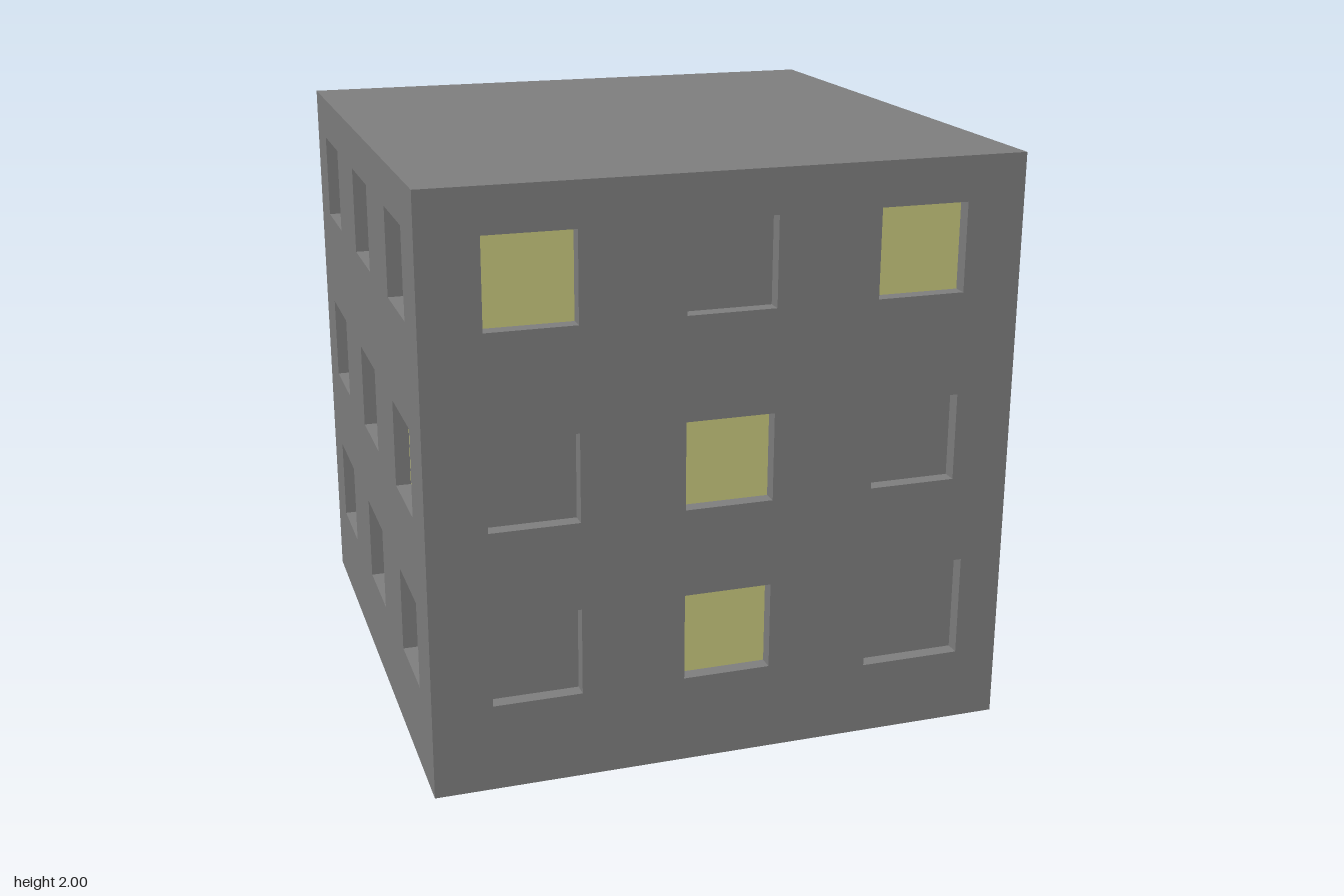
import * as THREE from 'three';

const wallGrey = new THREE.MeshStandardMaterial({ color: 0x808080 });
wallGrey.name = 'wallGrey';
const litYellow = new THREE.MeshStandardMaterial({ color: 0xcccc80 });
litYellow.name = 'litYellow';

const DEPTH = 0.05;
const COLUMNS = [-0.8, -0.5, -0.15, 0.15, 0.5, 0.8];
const ROWS = [[1.55, 1.85], [0.9, 1.2], [0.3, 0.6]];

// Lit windows (1) on each side, seen from outside, top row first
const SIDES = [
  { name: 'front', turn: 0, lit: ['101', '010', '010'] },
  { name: 'right', turn: Math.PI / 2, lit: ['001', '100', '010'] },
  { name: 'back', turn: Math.PI, lit: ['010', '010', '101'] },
  { name: 'left', turn: -Math.PI / 2, lit: ['100', '001', '010'] },
];

// Recess: an inward-facing box without its front, with the pane as its back
function recessGeometry(w, h) {
  const geo = new THREE.BoxGeometry(w, h, DEPTH);
  geo.scale(1, 1, -1);
  geo.setIndex(Array.from(geo.index.array).slice(0, 30));
  geo.computeVertexNormals();
  geo.clearGroups();
  geo.addGroup(0, 24, 0);
  geo.addGroup(24, 6, 1);
  return geo;
}

function createSide({ name, turn, lit }) {
  const side = new THREE.Group();
  side.name = name + 'Side';
  const outline = new THREE.Shape([[-1, 0], [1, 0], [1, 2], [-1, 2]].map(p => new THREE.Vector2(...p)));

  ROWS.forEach(([bottom, top], r) => {
    for (let c = 0; c < 3; c++) {
      // The front's lower right window is slightly larger
      const extra = name === 'front' && r === 2 && c === 2 ? 0.05 : 0;
      const x0 = COLUMNS[c * 2], x1 = COLUMNS[c * 2 + 1] + extra;
      const y0 = bottom - extra, y1 = top;
      outline.holes.push(new THREE.Path([[x0, y0], [x0, y1], [x1, y1], [x1, y0]].map(p => new THREE.Vector2(...p))));

      const isLit = lit[r][c] === '1';
      const recess = new THREE.Mesh(recessGeometry(x1 - x0, y1 - y0), [wallGrey, isLit ? litYellow : wallGrey]);
      recess.name = isLit ? 'litWindow' : 'darkWindow';
      recess.position.set((x0 + x1) / 2, (y0 + y1) / 2, 1 - DEPTH / 2);
      side.add(recess);
    }
  });

  const wall = new THREE.Mesh(new THREE.ShapeGeometry(outline), wallGrey);
  wall.name = name + 'Wall';
  wall.position.z = 1;
  side.add(wall);
  side.rotation.y = turn;
  return side;
}

export function createModel() {
  const building = new THREE.Group();
  building.name = 'building';
  SIDES.forEach(s => building.add(createSide(s)));

  // Roof and underside
  for (const [name, y, tilt] of [['roof', 2, -Math.PI / 2], ['base', 0, Math.PI / 2]]) {
    const slab = new THREE.Mesh(new THREE.PlaneGeometry(2, 2), wallGrey);
    slab.name = name;
    slab.position.y = y;
    slab.rotation.x = tilt;
    building.add(slab);
  }
  return building;
}
